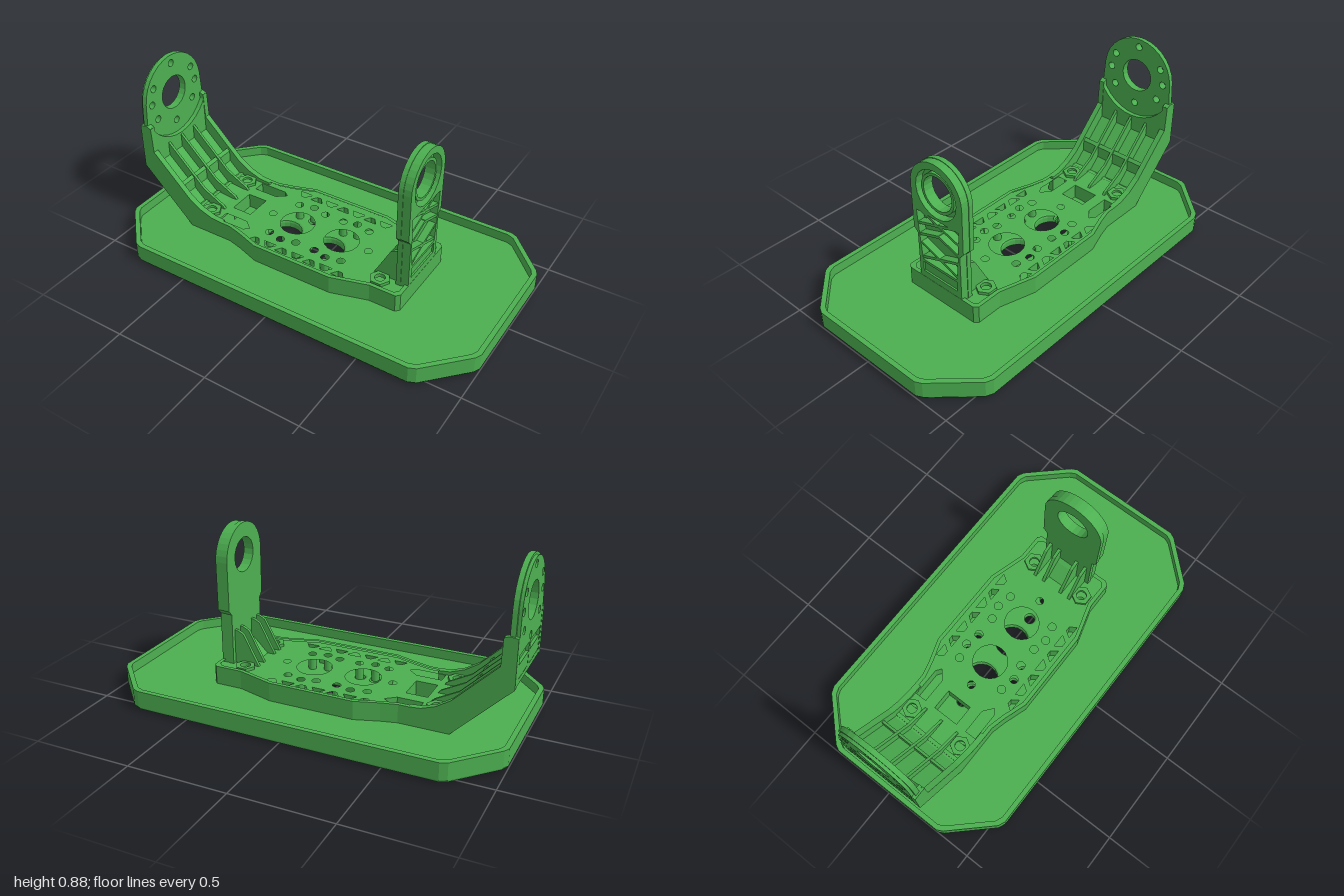
import * as THREE from 'three';

const mat = new THREE.MeshStandardMaterial({ color: 0x4caf50, flatShading: true });
const V = (p) => p.map(([x, y]) => new THREE.Vector2(x, y));
const poly = (p, holes = []) => {
  const s = new THREE.Shape(V(p));
  s.holes.push(...holes);
  return s;
};
const hole = (x, y, r) => new THREE.Path().absarc(x, y, r, 0, Math.PI * 2, true);
const cut = (p) => new THREE.Path(V(p));
const rect = (x0, x1, y0, y1) => [[x0, y0], [x1, y0], [x1, y1], [x0, y1]];
// mirror a half outline (listed from bottom to top) across the vertical axis
const mirrored = (p) => [...p, ...p.slice().reverse().map(([x, y]) => [-x, y])];
const extrude = (shape, depth, bevel = 0) => new THREE.ExtrudeGeometry(shape, {
  depth, curveSegments: 10, bevelEnabled: bevel > 0, bevelSize: bevel, bevelThickness: bevel, bevelSegments: 2,
});

export function createModel() {
  const model = new THREE.Group();
  const add = (name, geo, parent = model) => {
    const m = new THREE.Mesh(geo, mat);
    m.name = name;
    parent.add(m);
    return m;
  };
  // slab lying flat from y0 to y1, drawn in x and -z
  const flat = (name, shape, y0, y1, bevel = 0) => add(name,
    extrude(shape, y1 - y0 - 2 * bevel, bevel).rotateX(-Math.PI / 2).translate(0, y0 + bevel, 0));
  // upright plate facing x from x0 to x1, drawn in z and y
  const plate = (name, shape, x0, x1) => add(name, extrude(shape, x1 - x0).rotateY(Math.PI / 2).translate(x0, 0, 0));
  // vertical web centred on z, drawn in x and y
  const web = (name, pts, z, t) => add(name, extrude(poly(pts), t).translate(0, 0, z - t / 2));

  // --- tray ---
  const octagon = (d) => {
    const q = [[1 - d, 0.315 - d * 0.4], [0.985 - d, 0.345 - d * 0.4], [0.8 - d * 0.4, 0.54 - d], [0.765 - d * 0.4, 0.555 - d]];
    const half = [...q, ...q.slice().reverse().map(([x, y]) => [-x, y])];
    return [...half, ...half.map(([x, y]) => [-x, -y])];
  };
  const screws = [[-0.615, 0.155], [0.395, 0.155]].flatMap(([x, z]) => [[x, z], [x, -z]]);
  const trayHoles = [...screws, [0.155, 0], [-0.335, 0], [0.29, 0], [-0.415, 0]];
  for (const x of [-0.18, -0.1]) trayHoles.push([x, 0.15], [x, -0.15]);
  flat('trayFloor', poly(octagon(0.015), [
    ...trayHoles.map(([x, z]) => hole(x, z, 0.038)), hole(-0.26, 0, 0.098), hole(0, 0, 0.098),
  ]), 0, 0.05, 0.013);
  flat('trayRim', poly(octagon(0), [cut(octagon(0.025))]), 0.014, 0.1);

  // --- bracket base ---
  const outline = (d) => mirroredZ([[-0.69 + d, 0.225 - d], [-0.45, 0.225 - d], [-0.37, 0.245 - d], [-0.25, 0.285 - d],
    [0.19, 0.285 - d], [0.38, 0.23 - d], [0.52 - d, 0.23 - d], [0.538 - d, 0.21 - d]]);
  function mirroredZ(p) { return [...p, ...p.slice().reverse().map(([x, y]) => [x, -y])]; }
  const baseHoles = [hole(-0.18, 0, 0.09), hole(0.085, 0, 0.09), hole(-0.335, 0, 0.02), hole(0.24, 0, 0.02), cut(rect(-0.54, -0.43, -0.07, 0.07))];
  for (const [x, z] of screws) baseHoles.push(hole(x, z, 0.026));
  for (const s of [1, -1]) {
    for (const [x, z] of [[-0.26, 0.137], [-0.18, 0.155], [-0.1, 0.137], [0.01, 0.137], [0.085, 0.155], [0.165, 0.137]])
      baseHoles.push(hole(x, s * z, 0.021));
    baseHoles.push(cut([[-0.54, 0.13 * s], [-0.41, 0.13 * s], [-0.36, 0.17 * s], [-0.39, 0.19 * s], [-0.54, 0.19 * s]]));
    // alternating truss slots along each edge
    for (let i = 0; i < 7; i++) {
      const x = -0.285 + i * 0.082, up = i % 2 ? 1 : -1;
      baseHoles.push(cut([[x - 0.036, (0.225 - up * 0.017) * s], [x + 0.036, (0.225 - up * 0.017) * s],
        [x + 0.012, (0.225 + up * 0.017) * s], [x - 0.012, (0.225 + up * 0.017) * s]]));
    }
  }
  flat('bracketBase', poly(outline(0.003), baseHoles), 0.045, 0.13);
  flat('bracketBaseRim', poly(outline(0), [cut(outline(0.02))]), 0.046, 0.145);
  for (const [x, z] of screws) {
    const hex = Array.from({ length: 6 }, (_, i) => [x + 0.052 * Math.cos(i * Math.PI / 3), z + 0.052 * Math.sin(i * Math.PI / 3)]);
    flat('screwBoss', poly(hex, [hole(x, z, 0.026)]), 0.125, 0.146);
  }

  // --- slanted foot of the tall arm ---
  const side = [[-0.98, 0.33], [-0.7, 0.05], [-0.5, 0.05], [-0.5, 0.145], [-0.56, 0.15], [-0.63, 0.175], [-0.7, 0.22],
    [-0.91, 0.43], [-0.915, 0.565], [-0.94, 0.575], [-0.98, 0.57]];
  for (const s of [1, -1]) web('rampSide', side, s * 0.21, 0.03);
  web('rampFloor', [[-0.978, 0.332], [-0.7, 0.051], [-0.6, 0.051], [-0.6, 0.13], [-0.7, 0.14], [-0.915, 0.35], [-0.915, 0.43], [-0.978, 0.43]], 0, 0.42);
  for (const z of [-0.1, 0, 0.1])
    web('rampRib', [[-0.93, 0.33], [-0.7, 0.1], [-0.56, 0.12], [-0.58, 0.145], [-0.7, 0.21], [-0.915, 0.425]], z, 0.014);
  web('rampCrossRib', [[-0.775, 0.2], [-0.76, 0.19], [-0.76, 0.26], [-0.775, 0.275]], 0, 0.41);

  // --- tall arm with the ring of holes ---
  const dome = (cy, r, from, to, n) => Array.from({ length: n + 1 }, (_, i) => {
    const a = from + (to - from) * i / n;
    return [r * Math.cos(a), cy + r * Math.sin(a)];
  });
  const tall = (d) => mirrored([[0.225 - d, 0.335], [0.225 - d, 0.45], ...dome(0.67, 0.21 - d, 0.1, Math.PI / 2 - 0.05, 7)]);
  const ring = () => [hole(0, 0.67, 0.09), ...[90, 30, 150, 0, 180, -35, 215, 270].map((a) =>
    hole(0.166 * Math.cos(a * Math.PI / 180), 0.67 + 0.166 * Math.sin(a * Math.PI / 180), 0.019))];
  plate('tallArmPlate', poly(tall(0), ring()), -0.964, -0.939);
  plate('tallArmOuterFrame', poly(tall(0.012), [...ring(),
    cut(rect(-0.18, -0.012, 0.36, 0.475)), cut(rect(0.012, 0.18, 0.36, 0.475))]), -0.979, -0.964);
  plate('tallArmLedge', poly([[-0.215, 0.41], [0.215, 0.41], [0.212, 0.568],
    ...dome(0.67, 0.235, -0.45, -Math.PI + 0.45, 12), [-0.212, 0.568]]), -0.94, -0.915);

  // --- short arm with the bearing seat ---
  const short = (d) => mirrored([[0.14 - d, 0.1], [0.14 - d, 0.395], [0.163 - d, 0.42], ...dome(0.67, 0.165 - d, 0, Math.PI / 2 - 0.05, 8)]);
  plate('shortArmPlate', poly(short(0), [hole(0, 0.67, 0.089)]), 0.472, 0.497);
  plate('shortArmFrame', poly(short(0.003), [
    hole(0, 0.67, 0.127), cut([[-0.112, 0.25], [0.112, 0.25], [0.125, 0.39], [0.135, 0.53], [-0.135, 0.53], [-0.125, 0.39]]),
    cut(rect(-0.112, 0.112, 0.18, 0.235)),
  ]), 0.497, 0.537);
  plate('shortArmPanel', poly(rect(-0.112, 0.112, 0.18, 0.235)), 0.495, 0.528);
  plate('bearingSeat', poly(dome(0.67, 0.104, 0, Math.PI * 1.95, 23), [hole(0, 0.67, 0.089)]), 0.496, 0.525);

  // diagonal braces in the outer pocket
  const brace = (z0, y0, z1, y1) => {
    const g = new THREE.BoxGeometry(0.036, 0.014, Math.hypot(z1 - z0, y1 - y0));
    g.rotateX(-Math.atan2(y1 - y0, z1 - z0)).translate(0.516, (y0 + y1) / 2, (z0 + z1) / 2);
    add('shortArmBrace', g);
  };
  for (const s of [1, -1]) {
    brace(-0.13 * s, 0.455, 0.13 * s, 0.54);
    brace(-0.13 * s, 0.39, 0, 0.435);
    brace(-0.12 * s, 0.26, 0.12 * s, 0.345);
  }

  // gussets behind the short arm
  for (const z of [-0.11, -0.055, 0.055, 0.11])
    web('shortArmGusset', [[0.335, 0.12], [0.48, 0.12], [0.48, 0.31], [0.455, 0.305], [0.425, 0.29]], z, 0.016);
  web('gussetWedge', [[0.37, 0.12], [0.48, 0.12], [0.48, 0.22], [0.45, 0.2]], 0, 0.11);

  return model;
}
